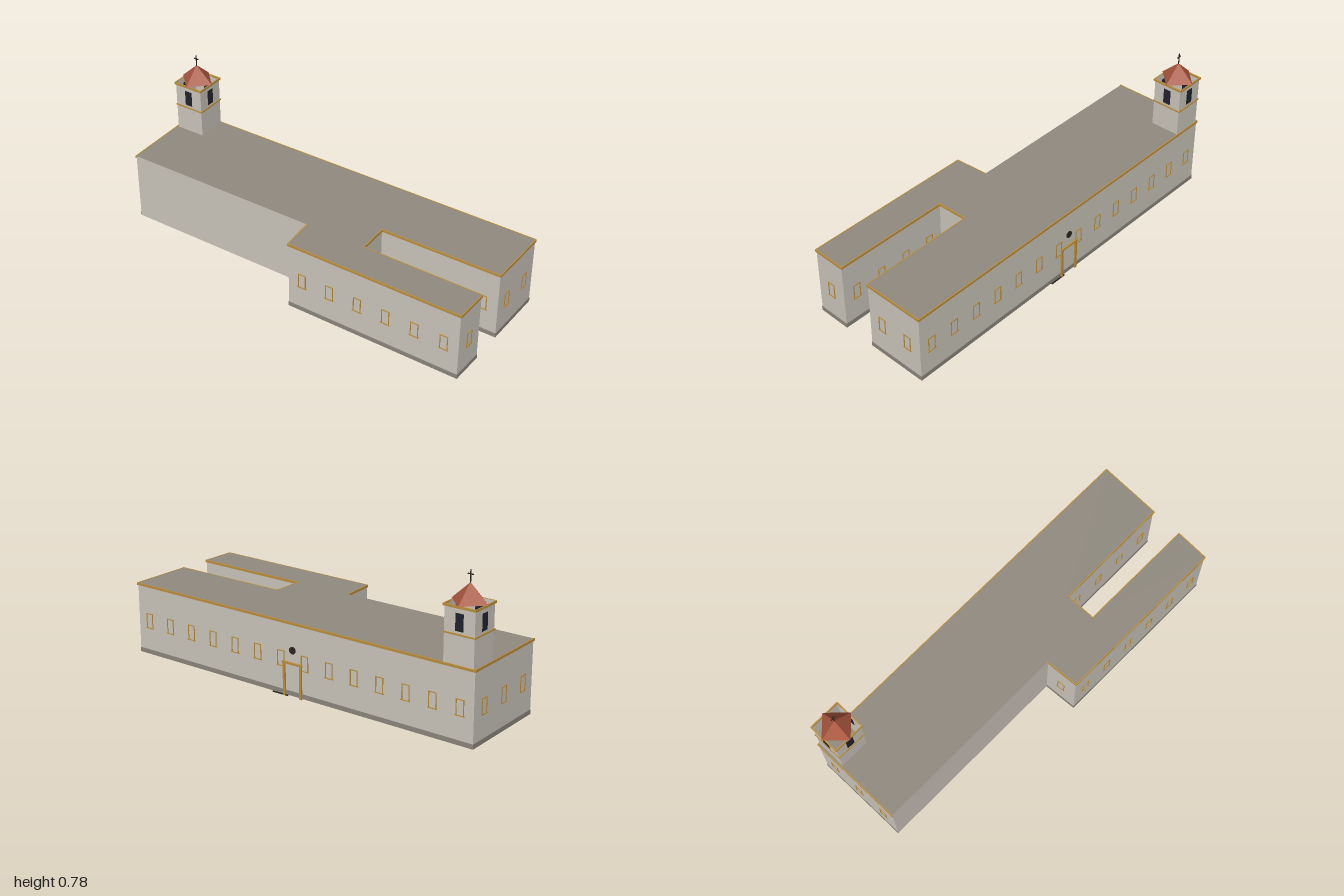
import * as THREE from 'three';

const mat = (name, color, side = THREE.FrontSide) => {
  const m = new THREE.MeshStandardMaterial({ color, side });
  m.name = name;
  return m;
};

export function createModel() {
  const M = {
    wall: mat('pale plaster', 0xcac5bb, THREE.DoubleSide),
    roof: mat('grey roof', 0x908a7f, THREE.DoubleSide),
    plinth: mat('stone plinth', 0x8b867d),
    trim: mat('ochre trim', 0xbc8f3c),
    tile: mat('red tile', 0xa8553c),
    glass: mat('dark opening', 0x22222e, THREE.DoubleSide),
    iron: mat('dark iron', 0x2a2420),
  };
  const model = new THREE.Group();
  model.name = 'building';

  const add = (parent, name, geo, material, x = 0, y = 0, z = 0) => {
    const m = new THREE.Mesh(geo, material);
    m.name = name;
    m.position.set(x, y, z);
    parent.add(m);
    return m;
  };
  const box = (parent, name, material, w, h, d, x, y, z) =>
    add(parent, name, new THREE.BoxGeometry(w, h, d), material, x, y, z);

  // Footprint corners (x, z), starting at the back left and running along the back
  const plan = [
    [-0.985, -0.355], [0.992, -0.302], [0.975, 0.02], [0.353, 0.006], [0.35, 0.172],
    [0.968, 0.192], [0.957, 0.364], [0.046, 0.334], [0.04, 0.162], [-0.995, 0.133],
  ];
  const base = 0.005, top = 0.369;
  const plainEdge = 8; // blank party wall at the front

  // Window: ochre surround outside, dark pane on the inner side
  function addWindow(wall, x) {
    const w = 0.042, y0 = 0.143, y1 = 0.22, t = 0.004, d = 0.004;
    const g = new THREE.Group();
    g.name = 'window';
    g.position.x = x;
    for (const s of [-1, 1]) box(g, 'windowJamb', M.trim, t, y1 - y0, d, s * (w - t) / 2, (y0 + y1) / 2, 0.001);
    box(g, 'windowHead', M.trim, w, t, d, 0, y1 - t / 2, 0.0012);
    box(g, 'windowSill', M.trim, w + 0.008, t, 0.006, 0, y0, 0.001);
    add(g, 'windowPane', new THREE.PlaneGeometry(w - t, y1 - y0 - t), M.glass, 0, (y0 + y1) / 2, -0.003);
    wall.add(g);
  }

  // Walls, each in a group whose +z points outwards
  const walls = plan.map(([ax, az], i) => {
    const [bx, bz] = plan[(i + 1) % plan.length];
    const dx = bx - ax, dz = bz - az, len = Math.hypot(dx, dz);
    const wall = new THREE.Group();
    wall.name = 'wall';
    wall.position.set((ax + bx) / 2, 0, (az + bz) / 2);
    wall.rotation.y = Math.atan2(dz, -dx);
    add(wall, 'wallFace', new THREE.PlaneGeometry(len, top - base), M.wall, 0, (top + base) / 2, 0);
    if (i !== plainEdge) {
      box(wall, 'plinth', M.plinth, len + 0.002, 0.023, 0.002, 0, base + 0.0115, 0.001);
      box(wall, 'cornice', M.trim, len + 0.008, 0.012, 0.005, 0, 0.364, 0.0025);
      const n = Math.floor(len / 0.14);
      for (let k = 0; k < n; k++) addWindow(wall, ((k + 0.5) / n - 0.5) * len);
    }
    model.add(wall);
    return wall;
  });

  // Flat roof
  const outline = new THREE.Shape(plan.map(([x, z]) => new THREE.Vector2(x, -z)));
  add(model, 'flatRoof', new THREE.ShapeGeometry(outline).rotateX(-Math.PI / 2), M.roof, 0, top, 0);

  // Main doorway with round window, in the middle of the back
  const back = walls[0];
  for (const s of [-1, 1]) box(back, 'doorPost', M.trim, 0.012, 0.165, 0.01, s * 0.049, 0.0825, 0.003);
  box(back, 'doorLintel', M.trim, 0.118, 0.01, 0.012, 0, 0.167, 0.003);
  box(back, 'doorStep', M.iron, 0.09, 0.005, 0.008, -0.075, 0.0025, 0.003);
  add(back, 'roundWindow', new THREE.CylinderGeometry(0.018, 0.018, 0.006, 12).rotateX(Math.PI / 2),
    M.iron, 0, 0.232, 0.002);

  // Bell tower, turned with the back wall
  const tower = new THREE.Group();
  tower.name = 'bellTower';
  tower.position.set(-0.902, 0, -0.276);
  tower.rotation.y = -0.027;
  model.add(tower);
  const half = 0.077, y0 = top, y1 = 0.634;
  for (let i = 0; i < 4; i++) {
    const side = new THREE.Group();
    side.name = 'towerSide';
    side.rotation.y = i * Math.PI / 2;
    add(side, 'towerWall', new THREE.PlaneGeometry(half * 2, y1 - y0), M.wall, 0, (y0 + y1) / 2, half);
    box(side, 'towerBand', M.trim, half * 2 + 0.008, 0.007, 0.004, 0, 0.507, half + 0.002);
    box(side, 'towerCornice', M.trim, half * 2 + 0.012, 0.011, 0.006, 0, 0.6295, half + 0.003);
    box(side, 'belfryOpening', M.glass, 0.04, 0.08, 0.004, 0, 0.562, half);
    tower.add(side);
  }

  // Pyramid roof set corner-on, with a cross
  const cone = new THREE.ConeGeometry(0.092, 0.086, 4, 1).toNonIndexed();
  cone.computeVertexNormals();
  add(tower, 'towerRoof', cone, M.tile, 0, y1 + 0.044, 0);
  box(tower, 'crossPost', M.iron, 0.004, 0.06, 0.004, 0, 0.747, 0);
  box(tower, 'crossArm', M.iron, 0.028, 0.004, 0.004, 0, 0.757, 0);

  return model;
}
